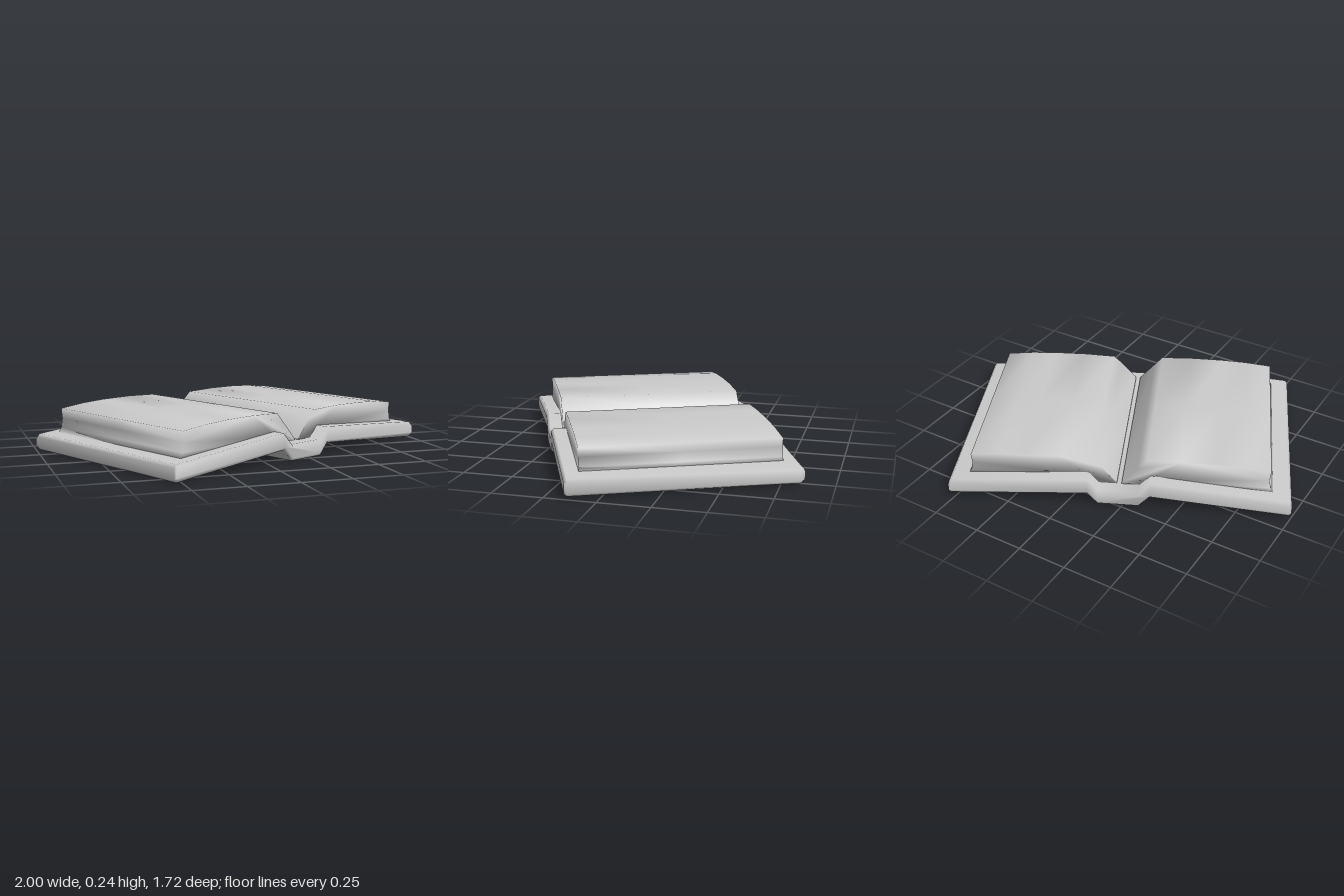
import * as THREE from 'three';

const material = new THREE.MeshStandardMaterial({ color: 0xcccccc });

// Lofts counter-clockwise [x, y] outlines along z, with shared vertices for smooth normals
function loft(name, layers) {
  const n = layers[0].outline.length;
  const pos = [], index = [];
  layers.forEach(({ z, outline }) => outline.forEach(([x, y]) => pos.push(x, y, z)));
  for (let k = 0; k < layers.length - 1; k++) {
    for (let i = 0; i < n; i++) {
      const a = k * n + i, b = k * n + (i + 1) % n;
      index.push(a, b, b + n, a, b + n, a + n);
    }
  }
  // End caps
  const contour = layers[0].outline.map(([x, y]) => new THREE.Vector2(x, y));
  const last = (layers.length - 1) * n;
  for (const [a, b, c] of THREE.ShapeUtils.triangulateShape(contour, [])) {
    index.push(a, c, b, last + a, last + b, last + c);
  }
  const geometry = new THREE.BufferGeometry();
  geometry.setAttribute('position', new THREE.Float32BufferAttribute(pos, 3));
  geometry.setIndex(index);
  geometry.computeVertexNormals();
  const mesh = new THREE.Mesh(geometry, material);
  mesh.name = name;
  return mesh;
}

// Cover outline: a bent centre line thickened by t, slimmer at its two ends
function coverOutline(t) {
  const line = [
    [-0.843, 0.042, 0.65], [-0.83, 0.043, 1], [-0.155, 0.102, 1], [-0.1, 0.042, 1],
    [0.1, 0.042, 1], [0.15, 0.1, 1], [0.83, 0.051, 1], [0.843, 0.05, 0.65],
  ];
  const bottom = line.map(([x, y, s]) => [x, y - t * s]);
  const top = line.map(([x, y, s]) => [x, y + t * s]).reverse();
  return [...bottom, ...top];
}

// Page block outline: curved top, hollow fore edge, slope into the gutter
function pageOutline(side, drop) {
  const right = [
    [0.012, 0.08], [0.1, 0.08], [0.15, 0.12], [0.755, 0.085],
    [0.738, 0.115], [0.73, 0.16], [0.735, 0.213 - drop],
    [0.6, 0.228 - drop], [0.47, 0.235 - drop], [0.3, 0.237 - drop],
    [0.135, 0.231 - drop], [0.09, 0.18], [0.012, 0.092],
  ];
  return side > 0 ? right : right.map(([x, y]) => [-x, y]).reverse();
}

export function createModel() {
  const model = new THREE.Group();
  model.name = 'openBook';
  const book = new THREE.Group();
  book.name = 'book';
  book.rotation.y = 0.435;
  model.add(book);

  // Cover with rounded front and back rims
  const full = coverOutline(0.041), slim = coverOutline(0.027);
  book.add(loft('cover', [
    { z: -0.557, outline: slim }, { z: -0.543, outline: full },
    { z: 0.543, outline: full }, { z: 0.557, outline: slim },
  ]));

  // Left and right page blocks
  for (const [name, side, drop] of [['leftPages', 1, 0.009], ['rightPages', -1, 0]]) {
    const outline = pageOutline(side, drop);
    book.add(loft(name, [-0.48, 0, 0.48].map((z) => ({ z, outline }))));
  }
  return model;
}
